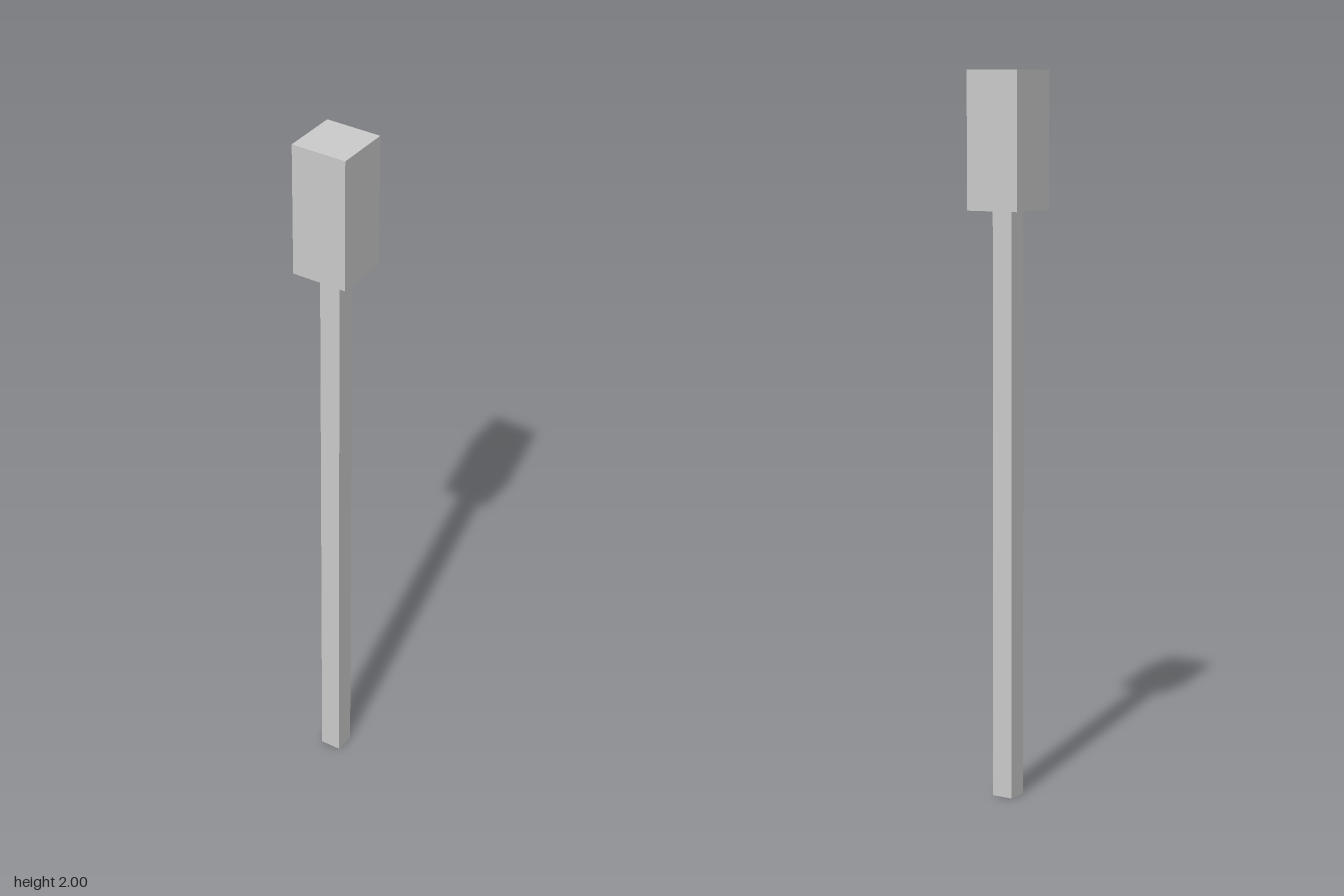
import * as THREE from 'three';

export function createModel() {
  const model = new THREE.Group();
  const material = new THREE.MeshStandardMaterial({ color: 0xcccccc, flatShading: true });

  // Square upright block from height y0 to y1
  const addBlock = (name, width, y0, y1) => {
    const mesh = new THREE.Mesh(new THREE.BoxGeometry(width, y1 - y0, width), material);
    mesh.name = name;
    mesh.position.y = (y0 + y1) / 2;
    model.add(mesh);
  };

  addBlock('shaft', 0.06, 0, 1.625);
  addBlock('head', 0.16, 1.625, 2);

  return model;
}
